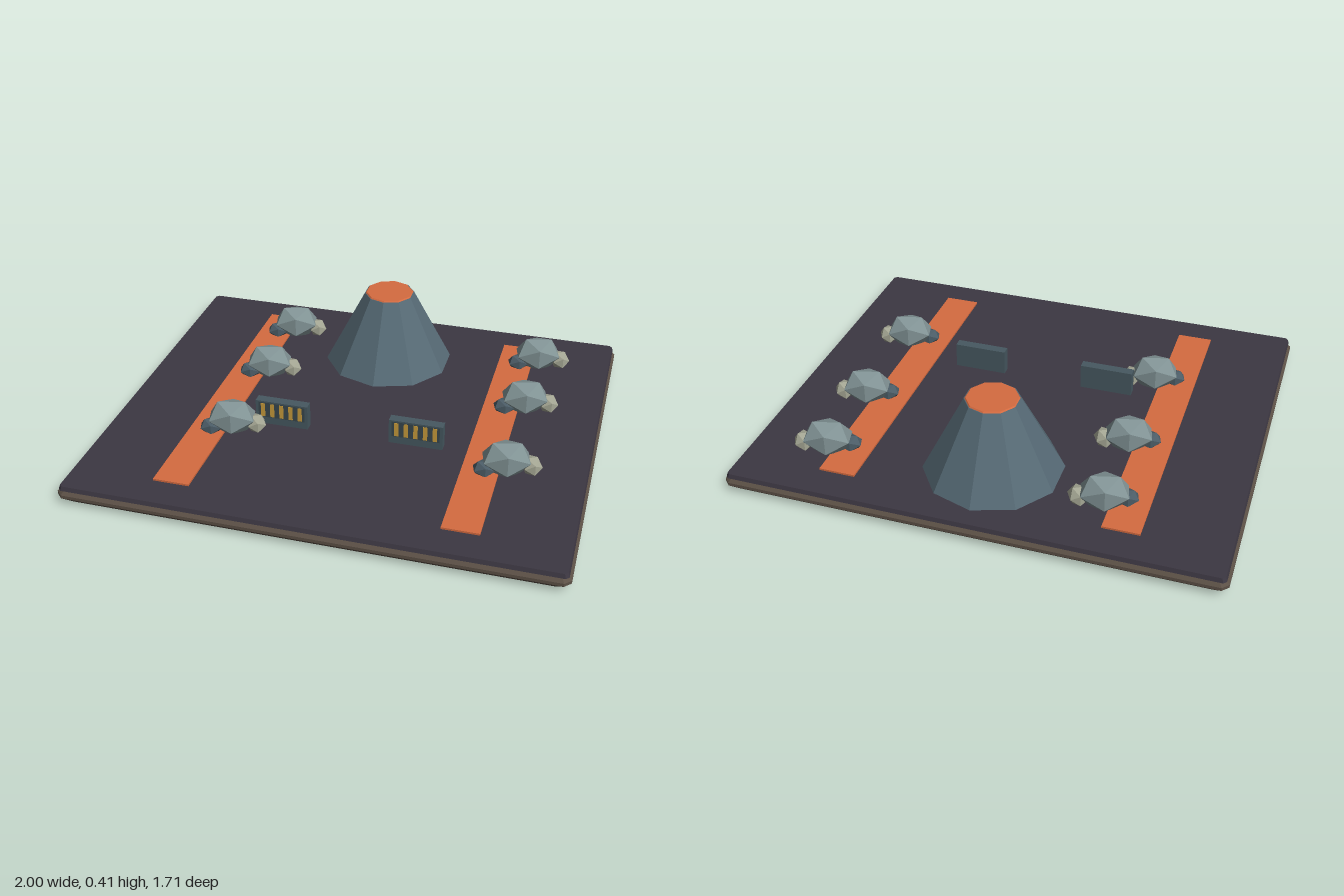
import * as THREE from 'three';

const mat = (color, extra = {}) =>
  new THREE.MeshStandardMaterial({ color, flatShading: true, ...extra });

const M = {
  base: mat(0x5c5046),
  ground: mat(0x3c3742),
  lava: mat(0xd56b40),
  cone: mat(0x566a75),
  wall: mat(0x465860),
  panel: mat(0x38474e),
  window: mat(0xc89b3c),
  rock: mat(0x819395),
  paleRock: mat(0xa5a794),
  darkRock: mat(0x4b5c66),
};

function add(parent, name, geometry, material, x = 0, y = 0, z = 0) {
  const mesh = new THREE.Mesh(geometry, material);
  mesh.name = name;
  mesh.position.set(x, y, z);
  parent.add(mesh);
  return mesh;
}

// Lofts rectangles with cut corners; each ring is [y, halfX, halfZ, cornerCut]
function loft(rings) {
  const pos = [], idx = [], n = 8;
  for (const [y, a, b, c] of rings) {
    const corners = [[a, b - c], [a - c, b], [c - a, b], [-a, b - c],
      [-a, c - b], [c - a, -b], [a - c, -b], [a, c - b]];
    for (const [x, z] of corners) pos.push(x, y, z);
  }
  for (let r = 0; r < rings.length - 1; r++) {
    for (let i = 0; i < n; i++) {
      const p = r * n + i, q = r * n + (i + 1) % n;
      idx.push(p, p + n, q, q, p + n, q + n);
    }
  }
  const top = (rings.length - 1) * n;
  for (let i = 1; i < n - 1; i++) {
    idx.push(0, i, i + 1, top, top + i + 1, top + i);
  }
  const g = new THREE.BufferGeometry();
  g.setAttribute('position', new THREE.Float32BufferAttribute(pos, 3));
  g.setIndex(idx);
  const flat = g.toNonIndexed();
  flat.computeVertexNormals();
  return flat;
}

// One boulder: a stretched icosahedron turned about the vertical
function boulder(parent, name, material, p, size, turn) {
  const g = new THREE.IcosahedronGeometry(1, 0);
  g.scale(...size);
  g.rotateY(turn);
  g.computeVertexNormals();
  add(parent, name, g, material, ...p);
}

function rockCluster(x, z) {
  const g = new THREE.Group();
  g.name = 'rockCluster';
  boulder(g, 'largeRock', M.rock, [0, 0.145, 0], [0.108, 0.083, 0.078], 0.25);
  boulder(g, 'paleRock', M.paleRock, [0.098, 0.118, -0.018], [0.043, 0.042, 0.05], 0.5);
  boulder(g, 'darkRock', M.darkRock, [-0.08, 0.108, 0.037], [0.05, 0.038, 0.042], 0.3);
  g.position.set(x, 0, z);
  return g;
}

// Low wall with a row of glowing slits on its front
function slottedWall(x) {
  const g = new THREE.Group();
  g.name = 'slottedWall';
  add(g, 'wallBlock', new THREE.BoxGeometry(0.225, 0.11, 0.04), M.wall, 0, 0.135, 0);
  add(g, 'wallPanel', new THREE.BoxGeometry(0.2, 0.07, 0.004), M.panel, 0, 0.15, 0.02);
  for (let i = -2; i <= 2; i++) {
    add(g, 'windowSlit', new THREE.BoxGeometry(0.018, 0.062, 0.006), M.window, i * 0.04, 0.15, 0.021);
  }
  g.position.set(x, 0, 0.187);
  return g;
}

export function createModel() {
  const model = new THREE.Group();
  model.name = 'volcanoBoard';

  // Bevelled base slab and ground plate
  add(model, 'baseSlab', loft([
    [0, 0.96, 0.82, 0.02],
    [0.035, 1, 0.855, 0.025],
    [0.048, 1, 0.855, 0.025],
    [0.065, 0.985, 0.842, 0.02],
  ]), M.base);
  add(model, 'groundPlate', loft([
    [0.064, 0.99, 0.847, 0.012],
    [0.082, 0.985, 0.842, 0.012],
  ]), M.ground);

  // Ten-sided volcano with a lava cap
  add(model, 'volcanoCone', new THREE.CylinderGeometry(0.11, 0.284, 0.33, 10), M.cone, 0, 0.245, -0.48);
  add(model, 'lavaCap', new THREE.CylinderGeometry(0.103, 0.108, 0.006, 10), M.lava, 0, 0.412, -0.48);

  // Lava channels, walls and rocks on both sides
  for (const s of [-1, 1]) {
    add(model, 'lavaChannel', new THREE.BoxGeometry(0.148, 0.012, 1.42), M.lava, s * 0.573, 0.084, 0);
    model.add(slottedWall(s * 0.286));
    for (const z of [-0.575, -0.19, 0.285]) {
      model.add(rockCluster(s < 0 ? -0.475 : 0.67, z));
    }
  }
  return model;
}
